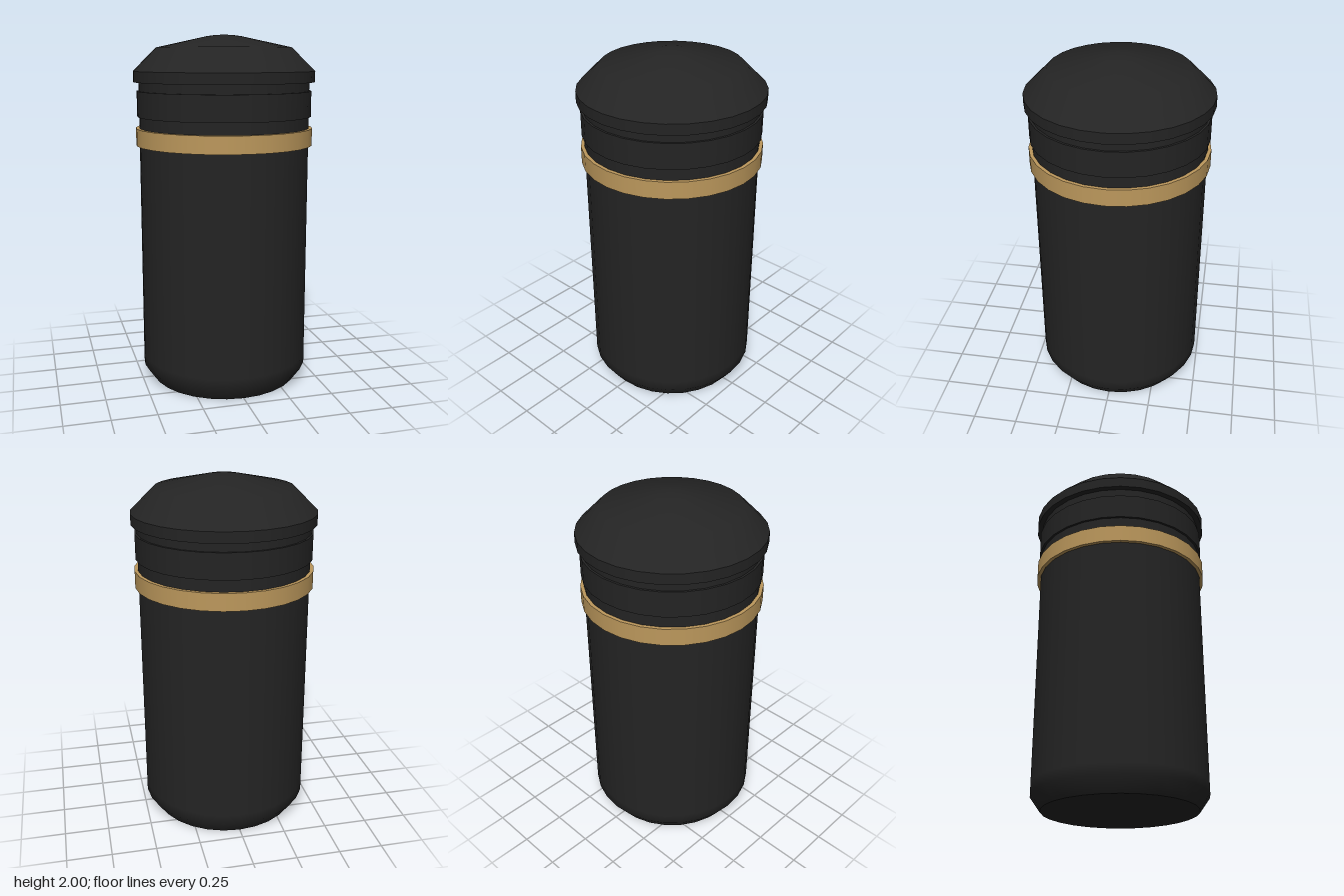
import * as THREE from 'three';
import { mergeGeometries } from 'three/addons/utils/BufferGeometryUtils.js';

const SIDES = 28;

// Each section is a smooth [radius, height] profile run upwards; sections meet at sharp edges.
function turned(name, material, sections) {
  const lathes = sections.map(points =>
    new THREE.LatheGeometry(points.map(([r, y]) => new THREE.Vector2(r, y)), SIDES));
  const mesh = new THREE.Mesh(mergeGeometries(lathes), material);
  mesh.name = name;
  return mesh;
}

// Raised band with flat upper and lower rims around the body.
function band(name, material, radius, inner, bottom, top) {
  return turned(name, material, [
    [[inner, bottom], [radius, bottom]],
    [[radius, bottom], [radius, top]],
    [[radius, top], [inner, top]],
  ]);
}

export function createModel() {
  const black = new THREE.MeshStandardMaterial({ color: 0x242424 });
  black.name = 'black';
  const gold = new THREE.MeshStandardMaterial({ color: 0xbc985c });
  gold.name = 'gold';

  const group = new THREE.Group();
  group.name = 'canister';
  const bodyRadius = 0.485;

  group.add(
    // Straight body with a chamfered foot and flat base
    turned('body', black, [
      [[0, 0], [0.428, 0]],
      [[0.428, 0], [bodyRadius, 0.08], [bodyRadius, 0.14], [bodyRadius, 1.74]],
    ]),
    // Bands around the neck
    band('goldBand', gold, 0.505, 0.48, 1.385, 1.482),
    band('neckBand', black, 0.497, 0.48, 1.547, 1.69),
    // Overhanging domed lid
    turned('lid', black, [
      [[0.47, 1.74], [0.516, 1.74]],
      [[0.516, 1.74], [0.516, 1.8]],
      [[0.516, 1.8], [0.385, 1.93], [0.1, 1.992], [0.05, 1.999], [0, 2]],
    ]),
  );
  return group;
}
